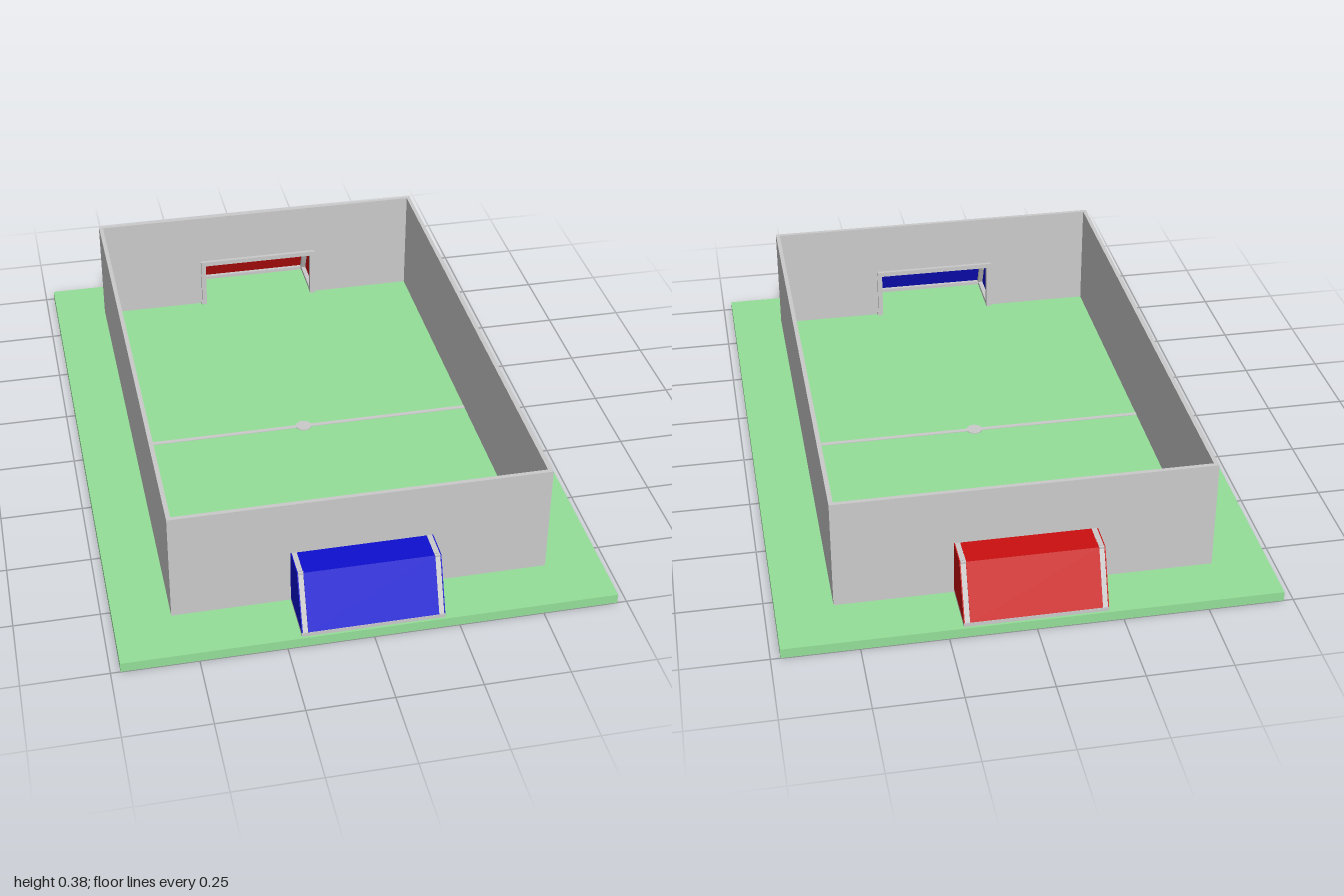
import * as THREE from 'three';

const GROUND = 0.03;
const grey = new THREE.MeshStandardMaterial({ color: 0xcccccc });
const green = new THREE.MeshStandardMaterial({ color: 0x96e099 });

function box(parent, name, material, [w, h, d], [x, y, z]) {
  const mesh = new THREE.Mesh(new THREE.BoxGeometry(w, h, d), material);
  mesh.position.set(x, y, z);
  mesh.name = name;
  parent.add(mesh);
  return mesh;
}

// Square bar running between two points
function bar(parent, name, a, b, size = 0.016) {
  const from = new THREE.Vector3(...a), to = new THREE.Vector3(...b);
  const mesh = box(parent, name, grey, [size, size, from.distanceTo(to) + size], [0, 0, 0]);
  mesh.position.copy(from).add(to).multiplyScalar(0.5);
  mesh.lookAt(to);
  return mesh;
}

// Outline of a goal seen from the side, in (z, y)
const goalProfile = [[0.83, 0.04], [0.83, 0.202], [0.922, 0.202], [0.992, 0.04]];

function createGoal(name, color) {
  const goal = new THREE.Group();
  goal.name = name;
  const net = new THREE.MeshStandardMaterial({ color, side: THREE.DoubleSide });

  // Roof and sloping back panels
  box(goal, 'netRoof', net, [0.38, 0.003, 0.092], [0, 0.2005, 0.876]);
  const back = box(goal, 'netBack', net, [0.38, 0.176, 0.003], [0, 0.121, 0.956]);
  back.rotation.x = -Math.atan2(0.07, 0.162);

  // Side panels and their framing bars
  const shape = new THREE.Shape(goalProfile.map(([z, y]) => new THREE.Vector2(-z, y)));
  for (const s of [-1, 1]) {
    const side = new THREE.Mesh(new THREE.ExtrudeGeometry(shape, { depth: 0.003, bevelEnabled: false }), net);
    side.rotation.y = Math.PI / 2;
    side.position.x = s * 0.2065 - 0.0015;
    side.name = 'netSide';
    goal.add(side);
    const x = s * 0.197;
    bar(goal, 'frontPost', [x, 0.038, 0.815], [x, 0.194, 0.815]);
    bar(goal, 'roofBar', [x, 0.194, 0.815], [x, 0.194, 0.915]);
    bar(goal, 'slopeBar', [x, 0.194, 0.915], [x, 0.042, 0.981]);
    box(goal, 'baseBar', grey, [0.018, 0.012, 0.185], [s * 0.199, GROUND + 0.006, 0.9]);
  }

  // Crossbar and rear base bar
  bar(goal, 'crossbar', [-0.197, 0.194, 0.815], [0.197, 0.194, 0.815]);
  box(goal, 'rearBaseBar', grey, [0.41, 0.012, 0.016], [0, GROUND + 0.006, 0.985]);
  return goal;
}

export function createModel() {
  const model = new THREE.Group();
  model.name = 'ballCourt';
  box(model, 'ground', green, [1.444, GROUND, 2], [0, GROUND / 2, 0]);

  // Long side walls
  const height = 0.375 - GROUND, t = 0.013;
  for (const s of [-1, 1]) {
    box(model, 'sideWall', grey, [t, height, 1.662], [s * (0.555 - t / 2), GROUND + height / 2, 0]);
  }

  // End walls with a goal opening
  const end = new THREE.Shape([[-0.542, GROUND], [-0.2, GROUND], [-0.2, 0.2], [0.2, 0.2],
    [0.2, GROUND], [0.542, GROUND], [0.542, 0.375], [-0.542, 0.375]].map(p => new THREE.Vector2(...p)));
  for (const z of [-0.831, 0.831 - t]) {
    const wall = new THREE.Mesh(new THREE.ExtrudeGeometry(end, { depth: t, bevelEnabled: false }), grey);
    wall.position.z = z;
    wall.name = 'endWall';
    model.add(wall);
  }

  // Halfway line and centre spot
  box(model, 'halfwayLine', grey, [1.084, 0.002, 0.014], [0, GROUND + 0.001, 0]);
  const spot = new THREE.Mesh(new THREE.CylinderGeometry(0.025, 0.025, 0.003, 32), grey);
  spot.position.y = GROUND + 0.0015;
  spot.name = 'centreSpot';
  model.add(spot);

  // Goals at either end
  model.add(createGoal('frontGoal', 0x0f0fd2));
  const rear = createGoal('rearGoal', 0xcc0f0f);
  rear.rotation.y = Math.PI;
  model.add(rear);
  return model;
}
